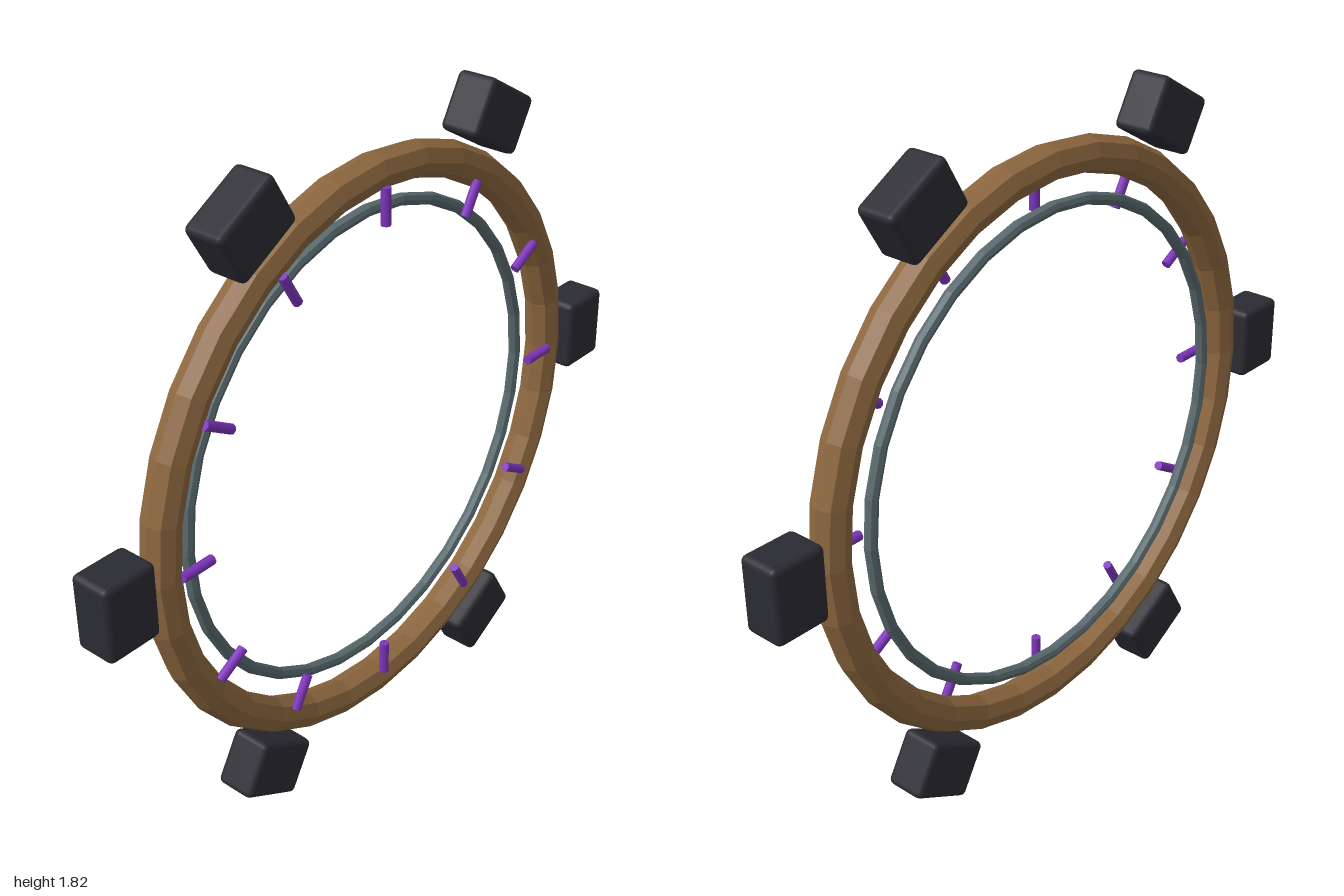
import * as THREE from 'three';
import { RoundedBoxGeometry } from 'three/addons/geometries/RoundedBoxGeometry.js';

const CENTER_Y = 0.913;

function material(name, color, flatShading = false) {
  const m = new THREE.MeshStandardMaterial({ color, flatShading });
  m.name = name;
  return m;
}

export function createModel() {
  const wood = material('wood brown', 0x8d673f, true);
  const steel = material('steel grey', 0x596a6e, true);
  const purple = material('purple', 0x7f35bd);
  const charcoal = material('charcoal', 0x2b2b33);

  const model = new THREE.Group();
  model.name = 'ring';
  const wheel = new THREE.Group();
  wheel.name = 'wheel';
  wheel.position.y = CENTER_Y;
  model.add(wheel);

  function add(name, geometry, mat, parent = wheel) {
    const mesh = new THREE.Mesh(geometry, mat);
    mesh.name = name;
    parent.add(mesh);
    return mesh;
  }

  // Repeats a part around the ring, its local x pointing outward
  function addAround(name, count, geometry, mat, radius, z) {
    for (let i = 0; i < count; i++) {
      const a = (i / count) * Math.PI * 2;
      const mesh = add(name + (i + 1), geometry, mat);
      mesh.position.set(Math.cos(a) * radius, Math.sin(a) * radius, z);
      mesh.rotation.z = a;
    }
  }

  // Wooden outer rim and thin metal inner hoop
  add('outerRim', new THREE.TorusGeometry(0.78, 0.05, 8, 32), wood);
  add('innerHoop', new THREE.TorusGeometry(0.67, 0.017, 8, 32), steel).position.z = -0.022;

  // Short pegs on the front side, bridging hoop and rim
  const peg = new THREE.CylinderGeometry(0.0135, 0.0135, 0.1, 8).rotateZ(Math.PI / 2);
  addAround('peg', 12, peg, purple, 0.698, 0.04);

  // Rounded blocks spaced around the outside
  const block = new RoundedBoxGeometry(0.16, 0.21, 0.118, 2, 0.017);
  addAround('block', 6, block, charcoal, 0.92, 0);

  return model;
}
